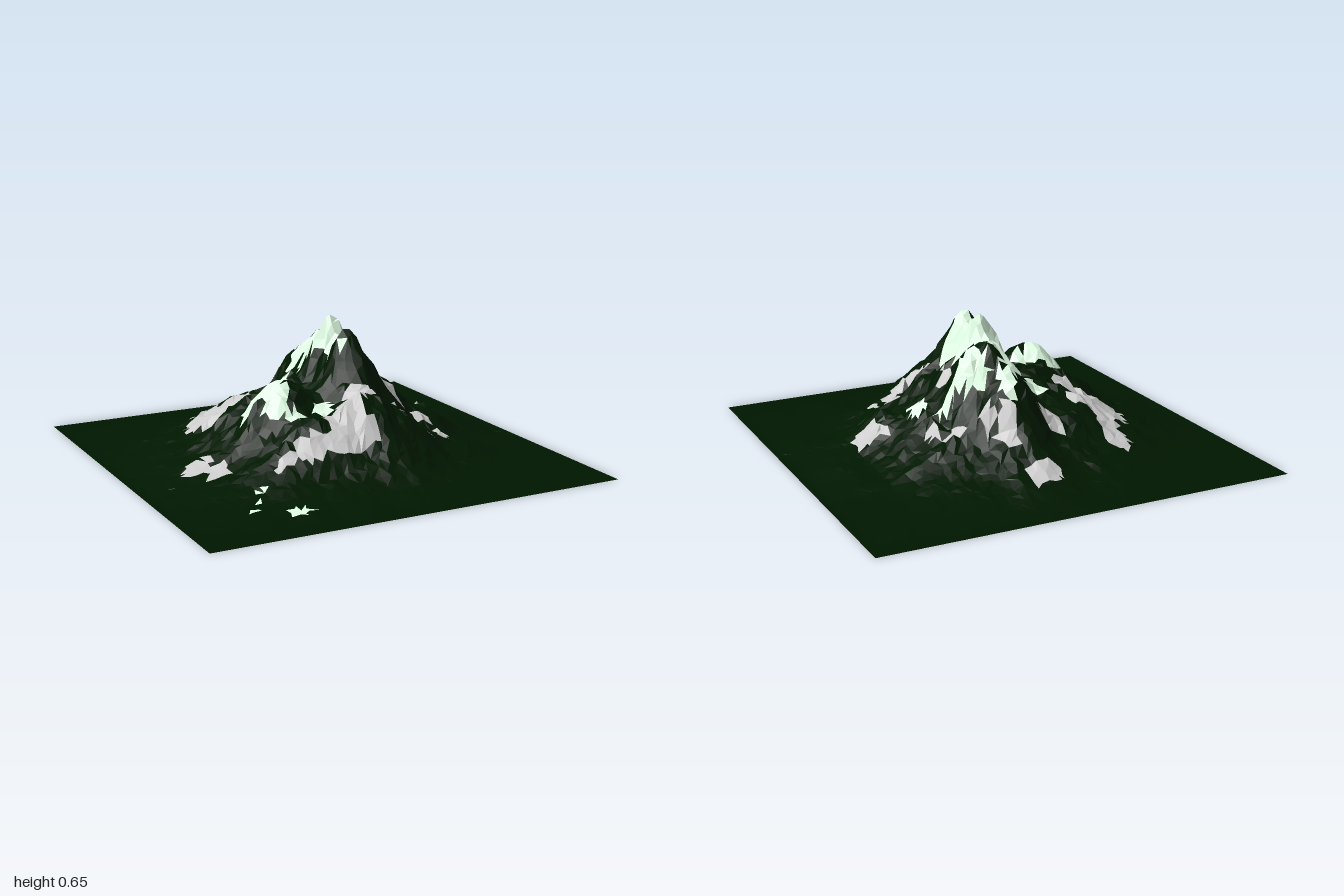
import * as THREE from 'three';

const CELLS = 64;

// Ridge profiles: [position, height] across x and along z
const PROFILE_X = [[-1, 0], [-0.95, 0], [-0.8, 0.045], [-0.6, 0.125], [-0.52, 0.18], [-0.45, 0.24], [-0.3, 0.31],
  [-0.2, 0.34], [-0.1, 0.37], [-0.05, 0.43], [0, 0.55], [0.04, 0.61], [0.1, 0.65], [0.15, 0.59], [0.2, 0.54],
  [0.25, 0.47], [0.3, 0.39], [0.35, 0.31], [0.4, 0.27], [0.5, 0.2], [0.6, 0.12], [0.7, 0.065], [0.8, 0.045], [0.95, 0], [1, 0]];
const PROFILE_Z = [[-1, 0], [-0.95, 0], [-0.8, 0.055], [-0.7, 0.11], [-0.6, 0.17], [-0.5, 0.26], [-0.4, 0.4],
  [-0.3, 0.46], [-0.25, 0.51], [-0.2, 0.55], [-0.1, 0.59], [-0.05, 0.65], [0, 0.59], [0.05, 0.58], [0.13, 0.62],
  [0.2, 0.53], [0.25, 0.45], [0.3, 0.37], [0.4, 0.35], [0.45, 0.3], [0.55, 0.19], [0.65, 0.1], [0.75, 0.04], [0.93, 0], [1, 0]];

// Local rises and hollows: [x, z, height, spreadX, spreadZ]
const BUMPS = [
  [-0.29, 0.19, 0.12, 0.11, 0.13],  // lower second summit
  [-0.22, 0.43, 0.06, 0.16, 0.08],  // front shoulder
  [-0.07, 0.36, 0.05, 0.07, 0.06],  // front spur
  [0.22, -0.2, 0.06, 0.05, 0.06],   // rear shoulder
  [0.21, 0.06, -0.1, 0.05, 0.08],   // cliff below the summit
  [0.27, 0.2, -0.03, 0.06, 0.06],   // hollow under the cliff
  [0.24, -0.46, -0.035, 0.07, 0.07], // rear gully
  [0.58, 0, 0.02, 0.07, 0.1],       // side rib
  [0.11, -0.05, 0.05, 0.025, 0.03], // summit spike
  [0.04, 0.13, 0.04, 0.025, 0.03],  // front spike
];

// Patches as ellipses: [x, z, radiusX, radiusZ]
const SNOW = [[0.1, -0.37, 0.035, 0.07], [0.04, -0.28, 0.05, 0.06], [-0.01, -0.22, 0.05, 0.04], [0.06, -0.1, 0.1, 0.13],
  [-0.12, -0.2, 0.05, 0.06], [0.2, -0.22, 0.06, 0.07], [0.1, 0.06, 0.1, 0.09], [0.18, 0, 0.06, 0.13],
  [0.42, -0.08, 0.04, 0.06], [0.32, -0.21, 0.07, 0.03], [-0.35, 0.1, 0.1, 0.08], [-0.21, 0.08, 0.06, 0.03],
  [-0.32, 0.2, 0.07, 0.07], [-0.28, 0.29, 0.04, 0.035], [-0.12, 0.27, 0.04, 0.05], [-0.48, 0.76, 0.045, 0.035],
  [-0.65, 0.67, 0.022, 0.016], [-0.56, 0.55, 0.018, 0.014], [-0.6, 0.62, 0.018, 0.014]];
const ROCK = [[0.1, -0.71, 0.09, 0.05], [-0.43, -0.24, 0.14, 0.13], [-0.4, -0.45, 0.05, 0.12], [-0.33, -0.12, 0.05, 0.08],
  [-0.1, -0.42, 0.045, 0.07], [0.16, -0.49, 0.04, 0.07], [0.22, -0.41, 0.04, 0.04], [0.35, -0.36, 0.05, 0.03],
  [0.43, -0.29, 0.03, 0.06], [0.28, -0.08, 0.025, 0.05], [0.6, 0.01, 0.075, 0.1], [-0.7, 0.18, 0.065, 0.065],
  [-0.65, 0.26, 0.055, 0.07], [0.28, 0.19, 0.05, 0.04], [0.25, 0.33, 0.04, 0.04], [0.35, 0.38, 0.07, 0.04],
  [0.42, 0.24, 0.05, 0.05], [0.46, 0.37, 0.03, 0.05], [-0.22, 0.47, 0.22, 0.05], [-0.08, 0.41, 0.1, 0.1],
  [0.03, 0.33, 0.08, 0.06], [-0.05, 0.5, 0.08, 0.035]];

function sample(profile, t) {
  let i = 1;
  while (i < profile.length - 1 && profile[i][0] < t) i++;
  const [a, ha] = profile[i - 1], [b, hb] = profile[i];
  return ha + (hb - ha) * (t - a) / (b - a);
}

function hash(i, j) {
  const s = Math.sin(i * 127.1 + j * 311.7 + 4.2) * 43758.5453;
  return s - Math.floor(s);
}

// Smooth value noise in -1..1
function noise(x, z) {
  const i = Math.floor(x), j = Math.floor(z);
  const u = THREE.MathUtils.smoothstep(x - i, 0, 1), v = THREE.MathUtils.smoothstep(z - j, 0, 1);
  const near = THREE.MathUtils.lerp(hash(i, j), hash(i + 1, j), u);
  const far = THREE.MathUtils.lerp(hash(i, j + 1), hash(i + 1, j + 1), u);
  return THREE.MathUtils.lerp(near, far, v) * 2 - 1;
}

function heightAt(x, z) {
  // Bend the ridge lines slightly
  const bentX = THREE.MathUtils.clamp(x + 0.014 * noise(x * 5, z * 9), -1, 1);
  const bentZ = THREE.MathUtils.clamp(z + 0.014 * noise(x * 9 + 20, z * 5), -1, 1);
  let h = sample(PROFILE_X, bentX) * sample(PROFILE_Z, bentZ) / 0.65;
  for (const [bx, bz, rise, sx, sz] of BUMPS) {
    h += rise * Math.exp(-0.5 * (((x - bx) / sx) ** 2 + ((z - bz) / sz) ** 2));
  }
  // Gullies and crags grow with the slope but leave the summit in place
  const rough = Math.max(Math.min(h, 0.72 - h, 0.2), 0);
  const crags = 0.08 * noise(x * 7, z * 7) + 0.09 * noise(x * 15 + 9, z * 15) + 0.08 * noise(x * 27, z * 27 + 5);
  return THREE.MathUtils.clamp(h + rough * crags, 0, 0.65);
}

// Ragged-edged patch test
function inPatch(patches, x, z) {
  const ragged = 1 + 0.7 * noise(x * 21 + z * 9, z * 21 - x * 9);
  return patches.some(([px, pz, rx, rz]) => ((x - px) / rx) ** 2 + ((z - pz) / rz) ** 2 < ragged);
}

export function createModel() {
  const group = new THREE.Group();
  group.name = 'mountain';

  // Irregular terrain grid with a straight outer border
  const step = 2 / CELLS;
  const grid = [];
  for (let j = 0; j <= CELLS; j++) {
    const row = [];
    for (let i = 0; i <= CELLS; i++) {
      const border = i === 0 || j === 0 || i === CELLS || j === CELLS;
      const wobble = border ? 0 : step * 0.7;
      const x = -1 + i * step + (hash(i, j) - 0.5) * wobble;
      const z = -1 + j * step + (hash(i + 70, j + 30) - 0.5) * wobble;
      row.push([x, border ? 0 : heightAt(x, z), z]);
    }
    grid.push(row);
  }

  // Sort the triangles into snow, bare rock and forest
  const faces = { snow: [], rock: [], forest: [] };
  const addFace = (a, b, c) => {
    const x = (a[0] + b[0] + c[0]) / 3, z = (a[2] + b[2] + c[2]) / 3;
    const kind = inPatch(SNOW, x, z) ? 'snow' : inPatch(ROCK, x, z) ? 'rock' : 'forest';
    faces[kind].push(...a, ...b, ...c);
  };
  for (let j = 0; j < CELLS; j++) {
    for (let i = 0; i < CELLS; i++) {
      const a = grid[j][i], b = grid[j + 1][i], c = grid[j + 1][i + 1], d = grid[j][i + 1];
      if (hash(i + 11, j + 5) < 0.5) {
        addFace(a, b, c);
        addFace(a, c, d);
      } else {
        addFace(a, b, d);
        addFace(b, c, d);
      }
    }
  }

  // One open sheet per ground cover
  const colors = { snow: 0xe2ffe6, rock: 0xcccccc, forest: 0x001700 };
  for (const [name, points] of Object.entries(faces)) {
    const geometry = new THREE.BufferGeometry();
    geometry.setAttribute('position', new THREE.Float32BufferAttribute(points, 3));
    geometry.computeVertexNormals();
    const material = new THREE.MeshStandardMaterial({ color: colors[name], flatShading: true, side: THREE.DoubleSide });
    const mesh = new THREE.Mesh(geometry, material);
    mesh.name = name;
    group.add(mesh);
  }
  return group;
}
